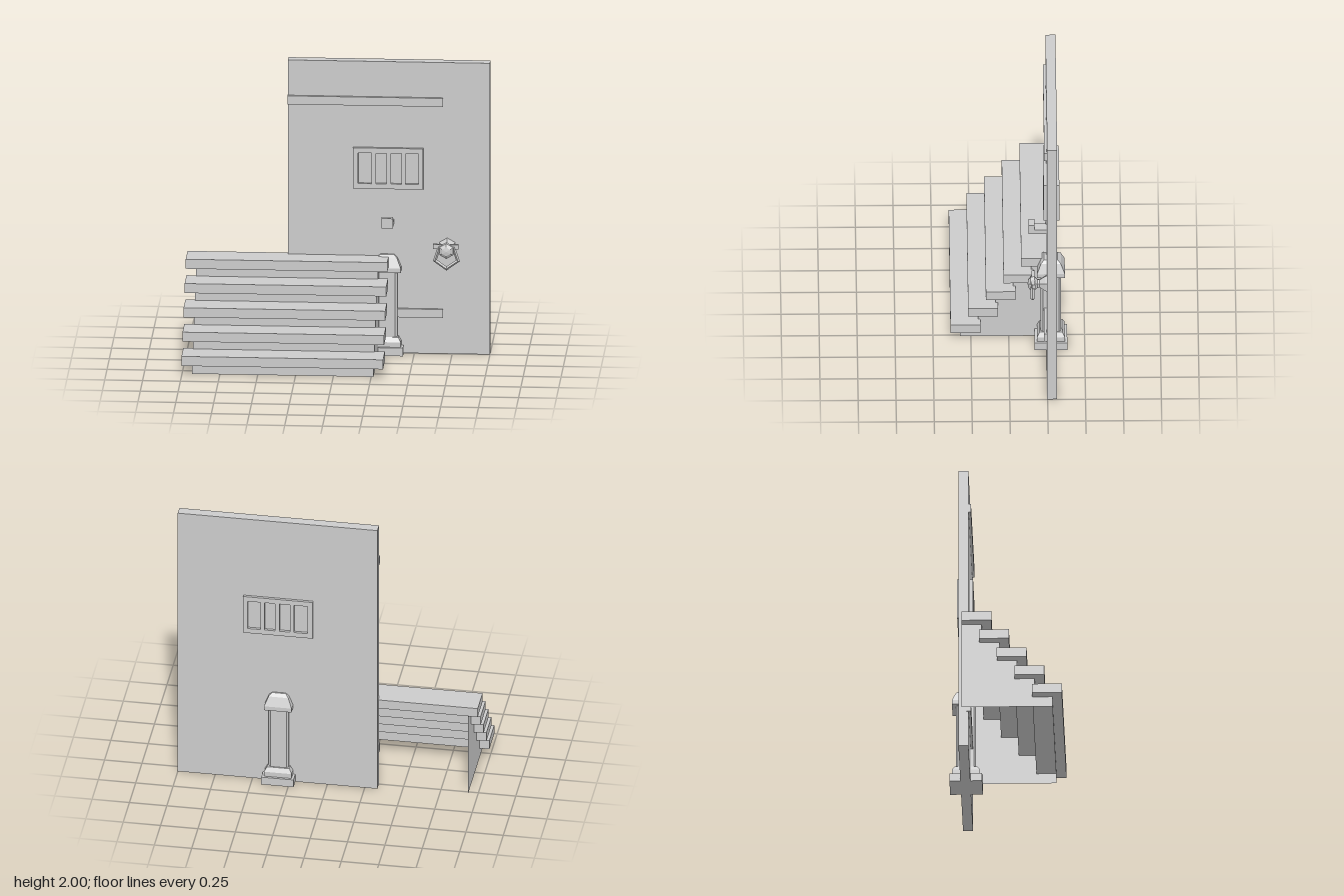
import * as THREE from 'three';

const grey = new THREE.MeshStandardMaterial({ color: 0xcccccc, flatShading: true });
const thin = new THREE.MeshStandardMaterial({ color: 0xcccccc, flatShading: true, side: THREE.DoubleSide });

function add(parent, name, geometry, material = grey) {
  const mesh = new THREE.Mesh(geometry, material);
  mesh.name = name;
  parent.add(mesh);
  return mesh;
}

function group(parent, name) {
  const g = new THREE.Group();
  g.name = name;
  parent.add(g);
  return g;
}

// Box given by its limits on each axis
function box(parent, name, x0, x1, y0, y1, z0, z1) {
  const mesh = add(parent, name, new THREE.BoxGeometry(x1 - x0, y1 - y0, z1 - z0));
  mesh.position.set((x0 + x1) / 2, (y0 + y1) / 2, (z0 + z1) / 2);
  return mesh;
}

// Closed solid of square sections with cut corners: [half width, y, corner cut]
function squareLoft(sections) {
  const pos = [], idx = [], n = 8;
  for (const [h, y, c] of sections) {
    const k = h - c;
    for (const [x, z] of [[h, -k], [h, k], [k, h], [-k, h], [-h, k], [-h, -k], [-k, -h], [k, -h]]) pos.push(x, y, z);
  }
  for (let s = 0; s < sections.length - 1; s++) {
    for (let i = 0; i < n; i++) {
      const a = s * n + i, b = s * n + (i + 1) % n;
      idx.push(a, a + n, b, b, a + n, b + n);
    }
  }
  const top = (sections.length - 1) * n;
  for (let i = 1; i < n - 1; i++) idx.push(0, i, i + 1, top, top + i + 1, top + i);
  const g = new THREE.BufferGeometry();
  g.setAttribute('position', new THREE.Float32BufferAttribute(pos, 3));
  g.setIndex(idx);
  const flat = g.toNonIndexed();
  flat.computeVertexNormals();
  return flat;
}

function buildDoor(root) {
  const door = group(root, 'door');
  box(door, 'doorPanel', -0.335, 1, 0, 2, -0.313, -0.247);

  // Hinge straps on the front
  for (const y of [0.25, 1.7]) box(door, 'hingeStrap', -0.338, 0.69, y, y + 0.058, -0.26, -0.23);

  // Barred window frame on both faces
  const frame = new THREE.Shape([[0.095, 1.13], [0.56, 1.13], [0.56, 1.41], [0.095, 1.41]].map(p => new THREE.Vector2(...p)));
  for (const [a, b] of [[0.13, 0.22], [0.247, 0.317], [0.347, 0.417], [0.442, 0.53]]) {
    frame.holes.push(new THREE.Path([[a, 1.165], [a, 1.375], [b, 1.375], [b, 1.165]].map(p => new THREE.Vector2(...p))));
  }
  const frameGeo = new THREE.ExtrudeGeometry(frame, { depth: 0.105, bevelEnabled: false });
  add(door, 'windowFrame', frameGeo).position.z = -0.331;

  // L-shaped latch hook
  const hook = new THREE.Shape([[-0.26, 0.887], [-0.13, 0.887], [-0.13, 0.955], [-0.17, 0.955], [-0.17, 0.92], [-0.26, 0.92]]
    .map(p => new THREE.Vector2(...p)));
  const hookGeo = new THREE.ExtrudeGeometry(hook, { depth: 0.075, bevelEnabled: false }).rotateY(-Math.PI / 2);
  add(door, 'latchHook', hookGeo).position.x = 0.365;
}

function buildKnocker(root) {
  const knocker = group(root, 'doorKnocker');
  knocker.position.set(0.718, 0.735, 0);
  const profile = [[0, -0.25], [0.062, -0.25], [0.055, -0.235], [0.03, -0.2], [0.032, -0.185],
    [0.055, -0.165], [0.052, -0.14], [0.03, -0.125], [0, -0.12]];
  const knob = new THREE.LatheGeometry(profile.map(p => new THREE.Vector2(...p)), 6).rotateX(Math.PI / 2);
  add(knocker, 'knob', knob);
  box(knocker, 'ringPivot', -0.088, 0.08, 0.012, 0.042, -0.17, -0.147);
  const ring = new THREE.TorusGeometry(0.08, 0.014, 4, 5).rotateZ(-Math.PI / 2);
  add(knocker, 'knockerRing', ring).position.set(0, -0.042, -0.153);
}

function buildPost(root) {
  const post = group(root, 'post');
  post.position.set(0.322, 0, -0.277);
  add(post, 'postBase', squareLoft([[0.108, 0, 0], [0.108, 0.056, 0]]));
  add(post, 'postFoot', squareLoft([[0.092, 0.056, 0], [0.092, 0.09, 0], [0.075, 0.12, 0]]));
  add(post, 'postShaft', squareLoft([[0.067, 0.11, 0.014], [0.067, 0.58, 0.014]]));
  add(post, 'postCap', squareLoft([[0.092, 0.567, 0], [0.092, 0.597, 0], [0.066, 0.66, 0], [0.045, 0.68, 0]]));
}

function buildStairs(root) {
  const stairs = group(root, 'stairs');
  const rise = 0.133, run = 0.1165, back = -0.28;
  const side = new THREE.Shape();
  side.moveTo(back, 0);
  for (let i = 0; i < 5; i++) {
    const y = i * rise, z = 0.32 - i * run;
    box(stairs, 'tread', -1, 0.332, y + 0.07, y + 0.135, 0.188 - i * run, 0.385 - i * run);
    // Thin riser under each tread
    const riser = add(stairs, 'riser', new THREE.PlaneGeometry(1.2, 0.075), thin);
    riser.position.set(-0.335, y + 0.0355, z);
    side.lineTo(z, y);
    side.lineTo(z, y + 0.075);
    if (i < 4) side.lineTo(z - run, y + 0.075);
  }
  side.lineTo(back, 4 * rise + 0.075);
  // Open-backed side panels
  const sideGeo = new THREE.ShapeGeometry(side).rotateY(-Math.PI / 2);
  for (const x of [-0.935, 0.265]) add(stairs, 'stairSide', sideGeo, thin).position.x = x;
}

export function createModel() {
  const root = new THREE.Group();
  root.name = 'doorWithSteps';
  buildDoor(root);
  buildKnocker(root);
  buildPost(root);
  buildStairs(root);
  return root;
}
